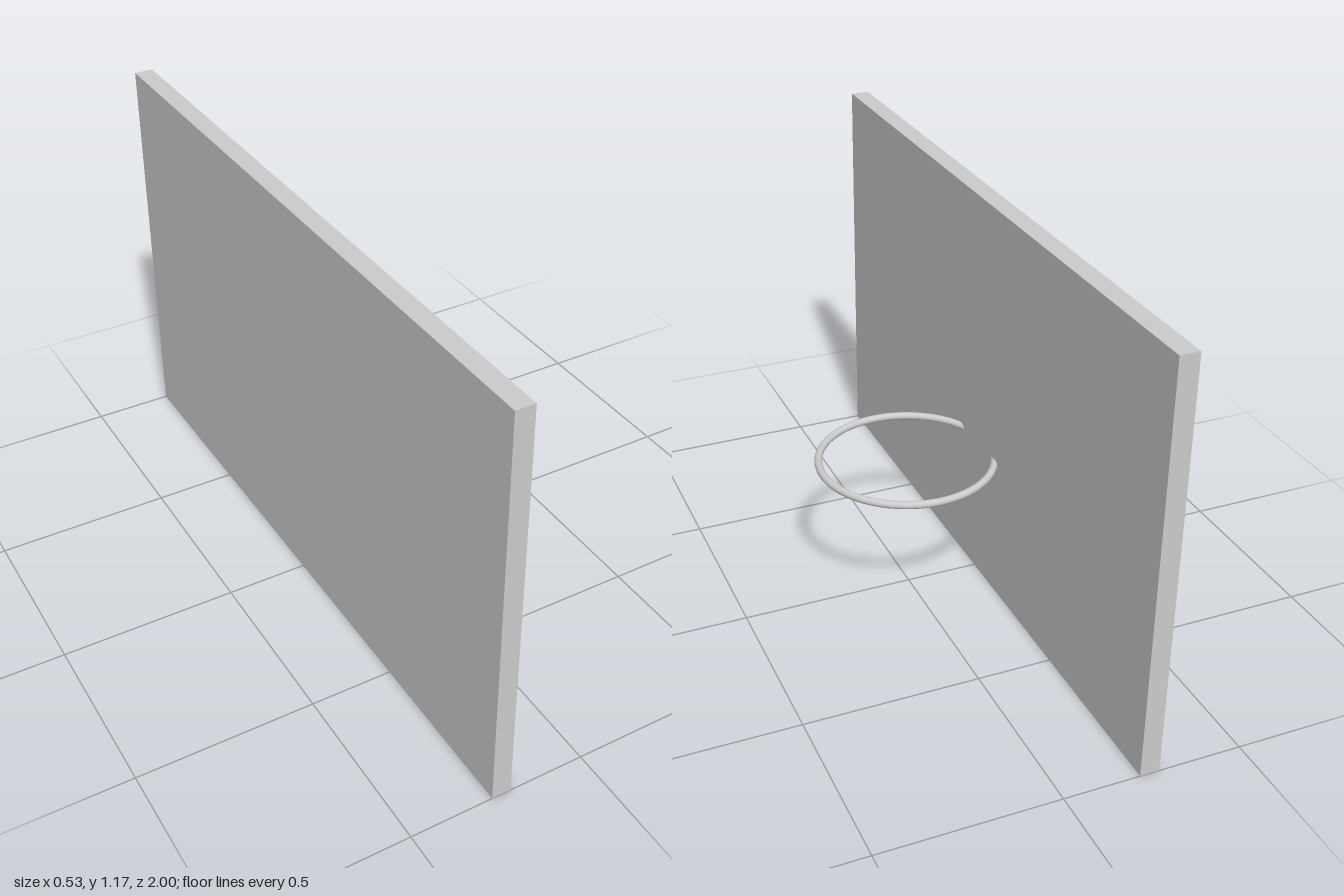
import * as THREE from 'three';

export function createModel() {
  const model = new THREE.Group();
  model.name = 'wallHoop';

  const grey = new THREE.MeshStandardMaterial({ color: 0xcccccc });
  grey.name = 'light grey';

  // Upright backboard
  const board = new THREE.Mesh(new THREE.BoxGeometry(0.054, 1.167, 2), grey);
  board.name = 'backboard';
  board.position.set(-0.24, 1.167 / 2, 0);
  model.add(board);

  // Horizontal hoop, its rear arc buried in the board
  const hoop = new THREE.Mesh(new THREE.TorusGeometry(0.249, 0.011, 16, 96), grey);
  hoop.name = 'hoop';
  hoop.rotation.x = Math.PI / 2;
  hoop.position.set(0.007, 0.419, 0);
  model.add(hoop);

  return model;
}
